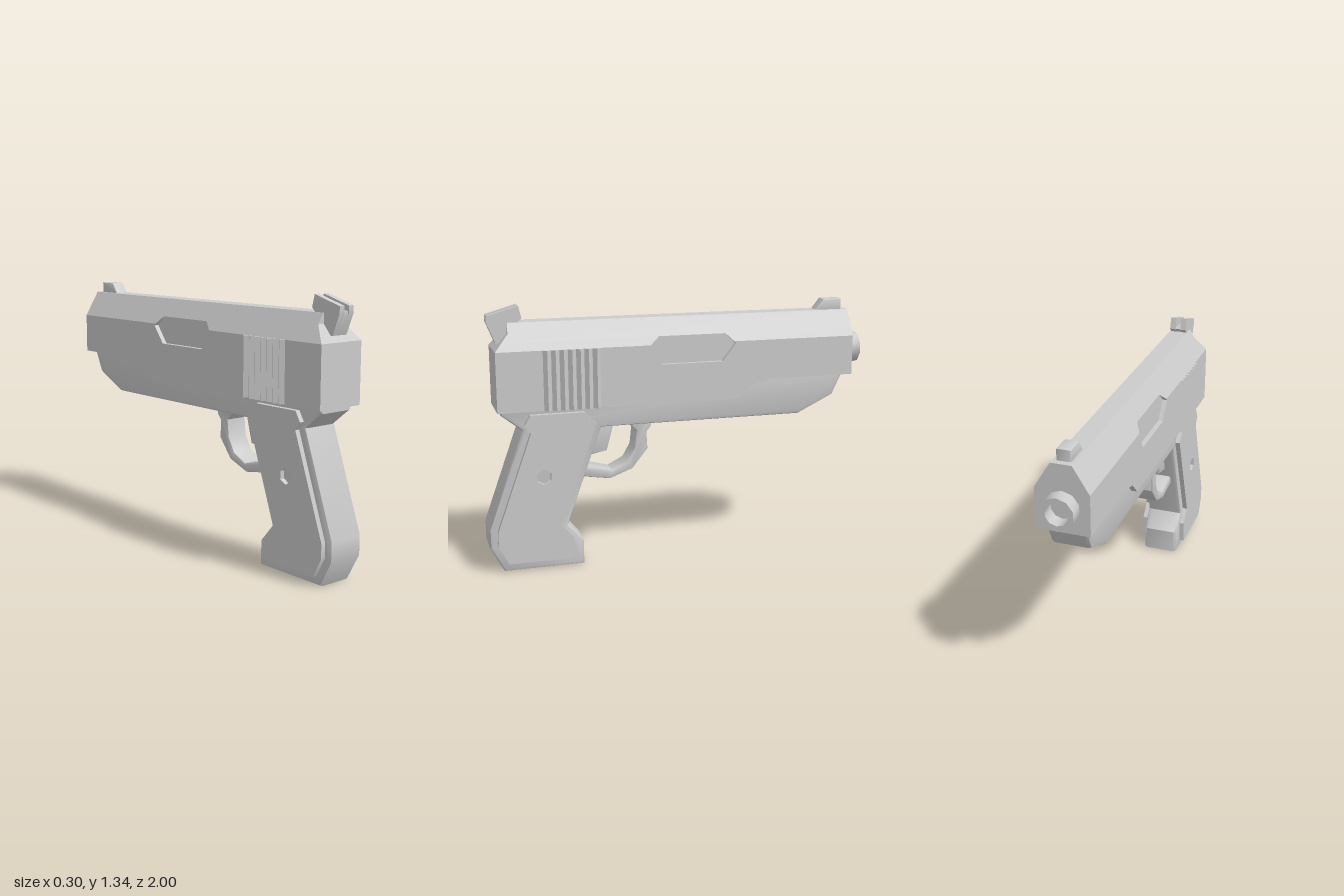
import * as THREE from 'three';
import { toCreasedNormals } from 'three/addons/utils/BufferGeometryUtils.js';

const material = new THREE.MeshStandardMaterial({ color: 0xcccccc });

// half width of the slide at a given height: straight wall, then sloping shoulder
const slideHalf = (y) => (y <= 1.13 ? 0.13 : 0.13 - ((y - 1.13) / 0.13) * 0.08);

const toShape = (points) => new THREE.Shape(points.map(([a, b]) => new THREE.Vector2(a, b)));

const circle = (cx, cy, r, sides) =>
  Array.from({ length: sides }, (_, i) => {
    const t = ((i + 0.5) / sides) * Math.PI * 2;
    return [cx + r * Math.cos(t), cy + r * Math.sin(t)];
  });

export function createModel() {
  const model = new THREE.Group();

  function add(name, geometry, crease = 0.7) {
    const mesh = new THREE.Mesh(toCreasedNormals(geometry, crease), material);
    mesh.name = name;
    model.add(mesh);
    return mesh;
  }

  // side profile given as [z, y], extruded across x from x0 to x1
  function sidePart(name, points, x0, x1, { bevel = 0, hole = null, taper = false } = {}) {
    const shape = toShape(points);
    if (hole) shape.holes.push(toShape(hole));
    const geometry = new THREE.ExtrudeGeometry(shape, {
      depth: x1 - x0 - 2 * bevel,
      bevelEnabled: bevel > 0,
      bevelSize: bevel,
      bevelThickness: bevel,
      bevelOffset: -bevel,
      bevelSegments: 2,
    });
    geometry.translate(0, 0, -x1 + bevel).rotateY(-Math.PI / 2);
    if (taper) {
      const p = geometry.attributes.position;
      for (let i = 0; i < p.count; i++) {
        p.setX(i, Math.sign(p.getX(i)) * Math.min(Math.abs(p.getX(i)), slideHalf(p.getY(i))));
      }
    }
    return add(name, geometry);
  }

  // frame and grip in one outline; its top edge is buried in the slide
  sidePart('frame', [
    [0.92, 0.95], [0.92, 0.81], [0.82, 0.73], [1, 0.23], [1, 0.13], [0.93, 0],
    [0.52, 0], [0.52, 0.13], [0.6, 0.22], [0.42, 0.72],
    [-0.65, 0.72], [-0.84, 0.81], [-0.91, 0.96],
  ], -0.1, 0.1, { bevel: 0.02 });

  // slide: lower walls with the port notches, core behind them, shoulders and top
  const slideFoot = [[-0.93, 0.925], [-0.47, 0.925], [-0.37, 0.9], [-0.3, 0.83], [0.94, 0.83]];
  sidePart('slideWalls', [
    ...slideFoot, [0.94, 1.13],
    [0.17, 1.13], [0.18, 1.12], [0.11, 1.03], [-0.21, 1.03], [-0.28, 1.12], [-0.27, 1.13],
    [-0.93, 1.13],
  ], -0.13, 0.13);
  sidePart('slideCore', [...slideFoot, [0.94, 1.13], [0.905, 1.17], [-0.93, 1.17]], -0.105, 0.105);
  sidePart('slideRearShoulders', [[0.94, 1.13], [0.905, 1.17], [0.12, 1.17], [0.17, 1.13]],
    -0.13, 0.13, { taper: true });
  sidePart('slideFrontShoulders', [[-0.27, 1.13], [-0.23, 1.17], [-0.93, 1.17], [-0.93, 1.13]],
    -0.13, 0.13, { taper: true });
  sidePart('slideTop', [[0.905, 1.17], [0.87, 1.21], [0.87, 1.26], [-0.93, 1.26], [-0.93, 1.17]],
    -0.13, 0.13, { taper: true });

  // grip panels with a small dimple, and slide serrations, on both sides
  const panel = [
    [0.78, 0.81], [0.51, 0.81], [0.45, 0.75], [0.64, 0.235], [0.58, 0.165], [0.58, 0.05],
    [0.91, 0.05], [0.96, 0.145], [0.96, 0.22], [0.78, 0.72], [0.81, 0.76],
  ];
  const teeth = 7, z0 = 0.425, pitch = 0.041;
  for (const side of [1, -1]) {
    const label = side > 0 ? 'left' : 'right';
    sidePart(label + 'GripPanel', panel, side > 0 ? 0.09 : -0.125, side > 0 ? 0.125 : -0.09,
      { hole: circle(0.72, 0.49, 0.04, 6) });

    // zigzag plan in [x, -z], raised along y
    const zigzag = [[side * 0.12, -z0]];
    for (let i = 0; i < teeth; i++) {
      zigzag.push([side * 0.129, -(z0 + i * pitch)], [side * 0.148, -(z0 + (i + 0.5) * pitch)]);
    }
    zigzag.push([side * 0.129, -(z0 + teeth * pitch)], [side * 0.12, -(z0 + teeth * pitch)]);
    const ridges = new THREE.ExtrudeGeometry(toShape(zigzag), { depth: 0.3, bevelEnabled: false });
    add(label + 'Serrations', ridges.rotateX(-Math.PI / 2).translate(0, 0.83, 0), 0.3);
  }

  // barrel end: a ring standing out of the slide face
  const ring = toShape(circle(0, 1.05, 0.083, 10));
  ring.holes.push(toShape(circle(0, 1.05, 0.055, 10)));
  const barrel = new THREE.ExtrudeGeometry(ring, { depth: 0.09, bevelEnabled: false });
  add('barrel', barrel.translate(0, 0, -1));

  // front sight
  sidePart('frontSight', [[-0.75, 1.25], [-0.8, 1.315], [-0.9, 1.315], [-0.9, 1.25]],
    -0.035, 0.035, { bevel: 0.008 });

  // rear sight: two cheeks with a lower bridge between them
  const cheek = [
    [0.965, 1.295], [0.81, 1.34], [0.795, 1.28], [0.87, 1.2],
    [0.885, 1.16], [0.925, 1.16], [0.965, 1.26],
  ];
  sidePart('rearSightLeft', cheek, 0.014, 0.045);
  sidePart('rearSightRight', cheek, -0.045, -0.014);
  sidePart('rearSightBridge', [
    [0.96, 1.27], [0.81, 1.29], [0.8, 1.28], [0.87, 1.2], [0.885, 1.16], [0.925, 1.16], [0.96, 1.25],
  ], -0.02, 0.02);

  // trigger guard and trigger
  sidePart('triggerGuard', [
    [0.15, 0.74], [0.15, 0.7], [0.175, 0.67], [0.17, 0.58], [0.25, 0.48], [0.37, 0.435], [0.53, 0.46],
    [0.53, 0.51], [0.475, 0.51], [0.36, 0.48], [0.28, 0.52], [0.24, 0.59], [0.23, 0.68],
    [0.27, 0.72], [0.27, 0.74],
  ], -0.06, 0.06, { bevel: 0.01 });
  sidePart('trigger', [[0.34, 0.74], [0.345, 0.71], [0.38, 0.58], [0.48, 0.56], [0.43, 0.74]],
    -0.035, 0.035, { bevel: 0.008 });

  return model;
}
